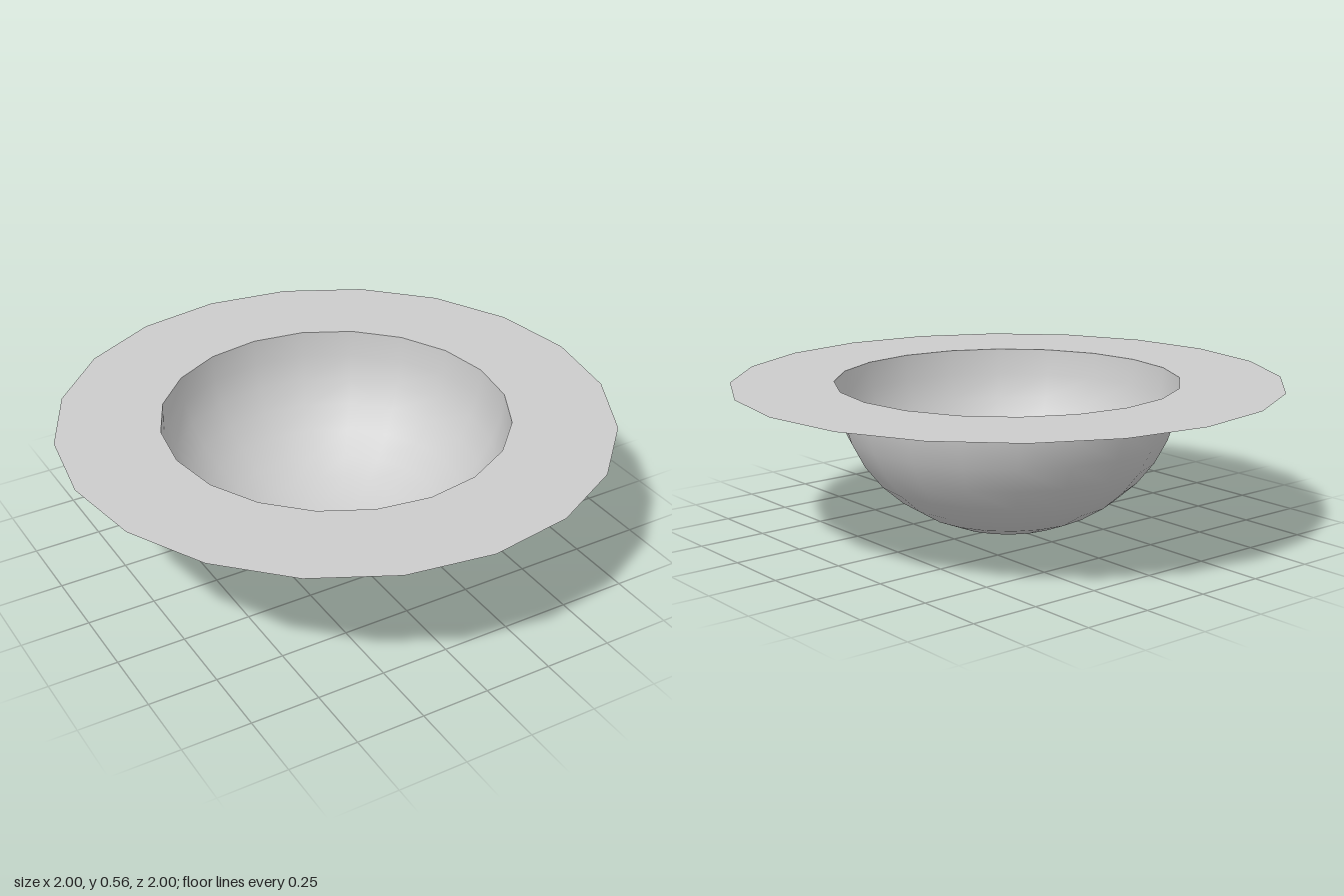
import * as THREE from 'three';

const SIDES = 20;
const RADIUS = 0.628;   // bowl opening
const HEIGHT = 0.556;   // bowl depth
const RINGS = 9;

export function createModel() {
  const group = new THREE.Group();
  group.name = 'brimmedBowl';
  const material = new THREE.MeshStandardMaterial({ color: 0xcccccc, side: THREE.DoubleSide });

  // Bowl: lower half of a slightly flattened sphere, open at the top
  const profile = [];
  for (let i = 0; i <= RINGS; i++) {
    const a = (i / RINGS) * Math.PI / 2;
    profile.push(new THREE.Vector2(RADIUS * Math.sin(a), HEIGHT * (1 - Math.cos(a))));
  }
  const bowl = new THREE.Mesh(new THREE.LatheGeometry(profile, SIDES), material);
  bowl.name = 'bowl';
  group.add(bowl);

  // Brim: thin flat ring around the opening
  const brimGeometry = new THREE.RingGeometry(RADIUS, 1, SIDES);
  brimGeometry.rotateX(-Math.PI / 2);
  const brim = new THREE.Mesh(brimGeometry, material);
  brim.name = 'brim';
  brim.position.y = HEIGHT;
  group.add(brim);

  return group;
}
